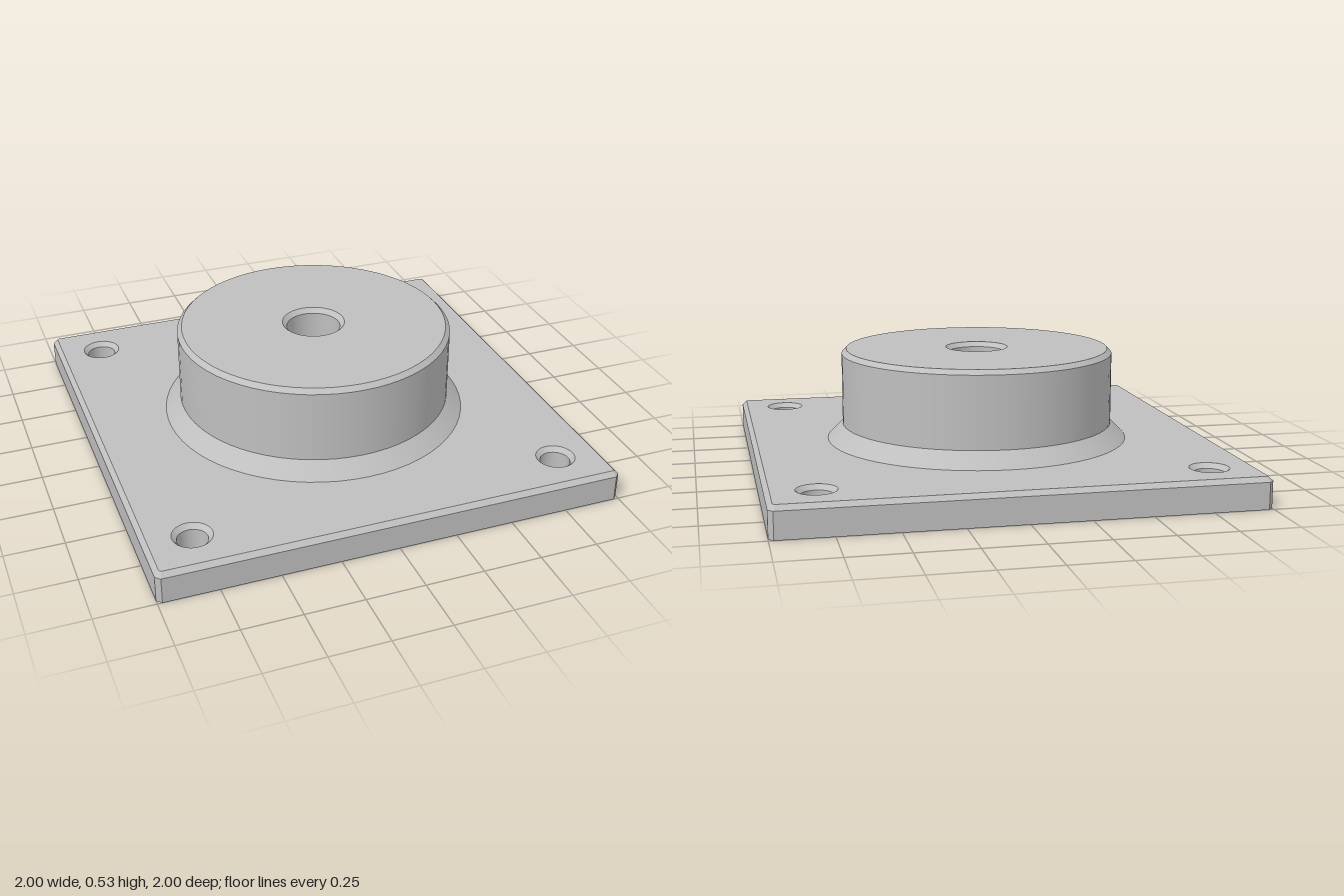
import * as THREE from 'three';

const PLATE_TOP = 0.133, CHAMFER = 0.02, SEGMENTS = 64;
const SCREW_R = 0.063, SCREW_RIM = 0.083, SCREW_AT = 0.8, FILLET_R = 0.667;

// Square outline with cut corners, as [x, z] points
function outline(half, cut) {
  const h = half, k = half - cut;
  return [[h, k], [k, h], [-k, h], [-h, k], [-h, -k], [-k, -h], [k, -h], [h, -k]];
}

// Flat face of the plate with round holes, each given as [x, z, radius]
function plateFace(points, holes, facing) {
  const shape = new THREE.Shape(points.map(([x, z]) => new THREE.Vector2(x, z)));
  for (const [x, z, r] of holes) {
    shape.holes.push(new THREE.Path().absarc(x, z, r, 0, Math.PI * 2, true));
  }
  return new THREE.ShapeGeometry(shape, SEGMENTS / 2).rotateX(-facing * Math.PI / 2);
}

// Flat-sided band joining stacked outlines, each given as { y, points }
function band(rings) {
  const pos = [];
  for (let i = 0; i + 1 < rings.length; i++) {
    const lo = rings[i], hi = rings[i + 1], n = lo.points.length;
    for (let j = 0; j < n; j++) {
      const k = (j + 1) % n;
      const at = (ring, m) => [ring.points[m][0], ring.y, ring.points[m][1]];
      const a = at(lo, j), b = at(lo, k), c = at(hi, k), d = at(hi, j);
      pos.push(...a, ...c, ...b, ...a, ...d, ...c);
    }
  }
  const geo = new THREE.BufferGeometry();
  geo.setAttribute('position', new THREE.Float32BufferAttribute(pos, 3));
  geo.computeVertexNormals();
  return geo;
}

export function createModel() {
  const model = new THREE.Group();
  model.name = 'flangedBoss';
  const metal = new THREE.MeshStandardMaterial({ color: 0xbfbfbf });
  metal.name = 'grey metal';

  const add = (parent, name, geo) => {
    const mesh = new THREE.Mesh(geo, metal);
    mesh.name = name;
    parent.add(mesh);
    return mesh;
  };
  const addGroup = (name) => {
    const group = new THREE.Group();
    group.name = name;
    model.add(group);
    return group;
  };
  // One lathe per profile step keeps every edge crisp and every wall smooth
  const revolve = (parent, steps) => {
    for (let i = 0; i + 1 < steps.length; i++) {
      const pts = [steps[i], steps[i + 1]].map(([r, y]) => new THREE.Vector2(r, y));
      add(parent, steps[i][2], new THREE.LatheGeometry(pts, SEGMENTS));
    }
  };

  // Base plate with bevelled upright and top edges
  const plate = addGroup('basePlate');
  const corners = [[1, 1], [1, -1], [-1, 1], [-1, -1]].map(([x, z]) => [x * SCREW_AT, z * SCREW_AT]);
  const wide = outline(1, CHAMFER);
  const inset = outline(1 - CHAMFER, CHAMFER * (Math.SQRT2 - 1));
  add(plate, 'plateSides', band([
    { y: 0, points: wide },
    { y: PLATE_TOP - CHAMFER, points: wide },
    { y: PLATE_TOP, points: inset },
  ]));
  add(plate, 'plateBottom', plateFace(wide, corners.map(([x, z]) => [x, z, SCREW_R]), -1));
  const topHoles = corners.map(([x, z]) => [x, z, SCREW_RIM]);
  topHoles.push([0, 0, FILLET_R]);
  add(plate, 'plateTop', plateFace(inset, topHoles, 1)).position.y = PLATE_TOP;

  // Screw holes through the corners
  for (const [x, z] of corners) {
    const hole = addGroup('screwHole');
    hole.position.set(x, 0, z);
    revolve(hole, [
      [SCREW_RIM, PLATE_TOP, 'screwHoleBevel'],
      [SCREW_R, PLATE_TOP - CHAMFER, 'screwHoleWall'],
      [SCREW_R, 0],
    ]);
  }

  // Round boss with sloped foot and blind centre bore
  revolve(addGroup('boss'), [
    [FILLET_R, PLATE_TOP, 'bossFoot'],
    [0.6, 0.2, 'bossWall'],
    [0.6, 0.513, 'bossBevel'],
    [0.58, 0.533, 'bossTop'],
    [0.137, 0.533, 'boreBevel'],
    [0.117, 0.513, 'boreWall'],
    [0.117, PLATE_TOP, 'boreFloor'],
    [0, PLATE_TOP],
  ]);

  return model;
}
